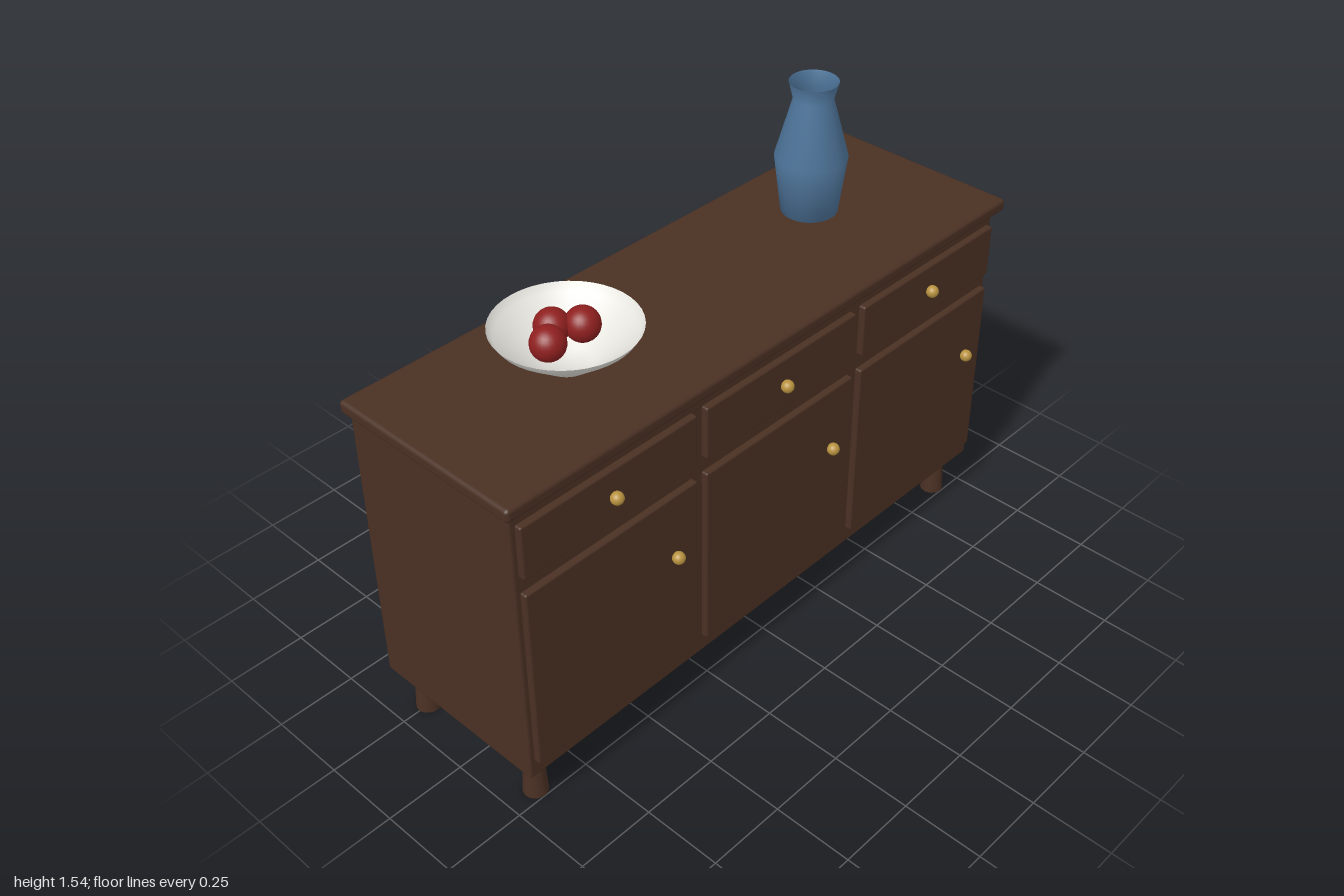
import * as THREE from 'three';
import { RoundedBoxGeometry } from 'three/addons/geometries/RoundedBoxGeometry.js';

const mat = (color, side = THREE.FrontSide) => new THREE.MeshStandardMaterial({ color, side });

export function createModel() {
  const group = new THREE.Group();
  const wood = mat(0x4a3023);
  const brass = mat(0xb8923f);
  const red = mat(0x8f1f1f);

  const add = (name, geometry, material, x, y, z) => {
    const mesh = new THREE.Mesh(geometry, material);
    mesh.name = name;
    mesh.position.set(x, y, z);
    group.add(mesh);
    return mesh;
  };
  // Softly rounded box given by its lower and upper corners
  const box = (name, [x0, y0, z0], [x1, y1, z1], r) =>
    add(name, new RoundedBoxGeometry(x1 - x0, y1 - y0, z1 - z0, 2, r), wood,
      (x0 + x1) / 2, (y0 + y1) / 2, (z0 + z1) / 2);
  // Open turned vessel; each profile segment keeps its own crisp edge
  const vessel = (name, profile, color, x, y, z) =>
    add(name, new THREE.LatheGeometry(profile.map(p => new THREE.Vector2(...p)), 40),
      mat(color, THREE.DoubleSide), x, y, z);

  // Cabinet and worktop
  box('cabinetBody', [-0.975, 0.15, -0.325], [0.975, 1.09, 0.283], 0.008);
  box('worktop', [-1, 1.08, -0.332], [1, 1.12, 0.311], 0.012);

  // Three bays, each with a drawer above a door
  const knob = new THREE.SphereGeometry(0.019, 20, 14);
  for (const x of [-0.65, 0, 0.65]) {
    box('drawerFront', [x - 0.307, 0.87, 0.265], [x + 0.307, 1.038, 0.303], 0.006);
    box('door', [x - 0.307, 0.21, 0.265], [x + 0.307, 0.819, 0.303], 0.006);
    add('drawerKnob', knob, brass, x, 0.955, 0.316);
    add('doorKnob', knob, brass, x + 0.218, 0.612, 0.316);
  }

  // Legs, widening towards the floor
  const leg = new THREE.CylinderGeometry(0.027, 0.037, 0.16, 20);
  for (const x of [-0.905, 0.905])
    for (const z of [0.212, -0.253]) add('leg', leg, wood, x, 0.08, z);

  // Vase
  vessel('vase', [[0, 0.002], [0.086, 0.002], [0.109, 0.182], [0.059, 0.365], [0.073, 0.418]],
    0x4f769c, 0.548, 1.12, -0.083);

  // Fruit bowl and fruit
  vessel('bowl', [[0, 0.004], [0.067, 0.004], [0.19, 0.1], [0.206, 0.124]],
    0xe6e5df, -0.49, 1.12, -0.024);
  const fruit = new THREE.SphereGeometry(0.05, 24, 16);
  for (const [dx, z] of [[-0.061, -0.027], [0.061, -0.027], [0, -0.079]])
    add('fruit', fruit, red, -0.49 + dx, 1.214, z);

  return group;
}
